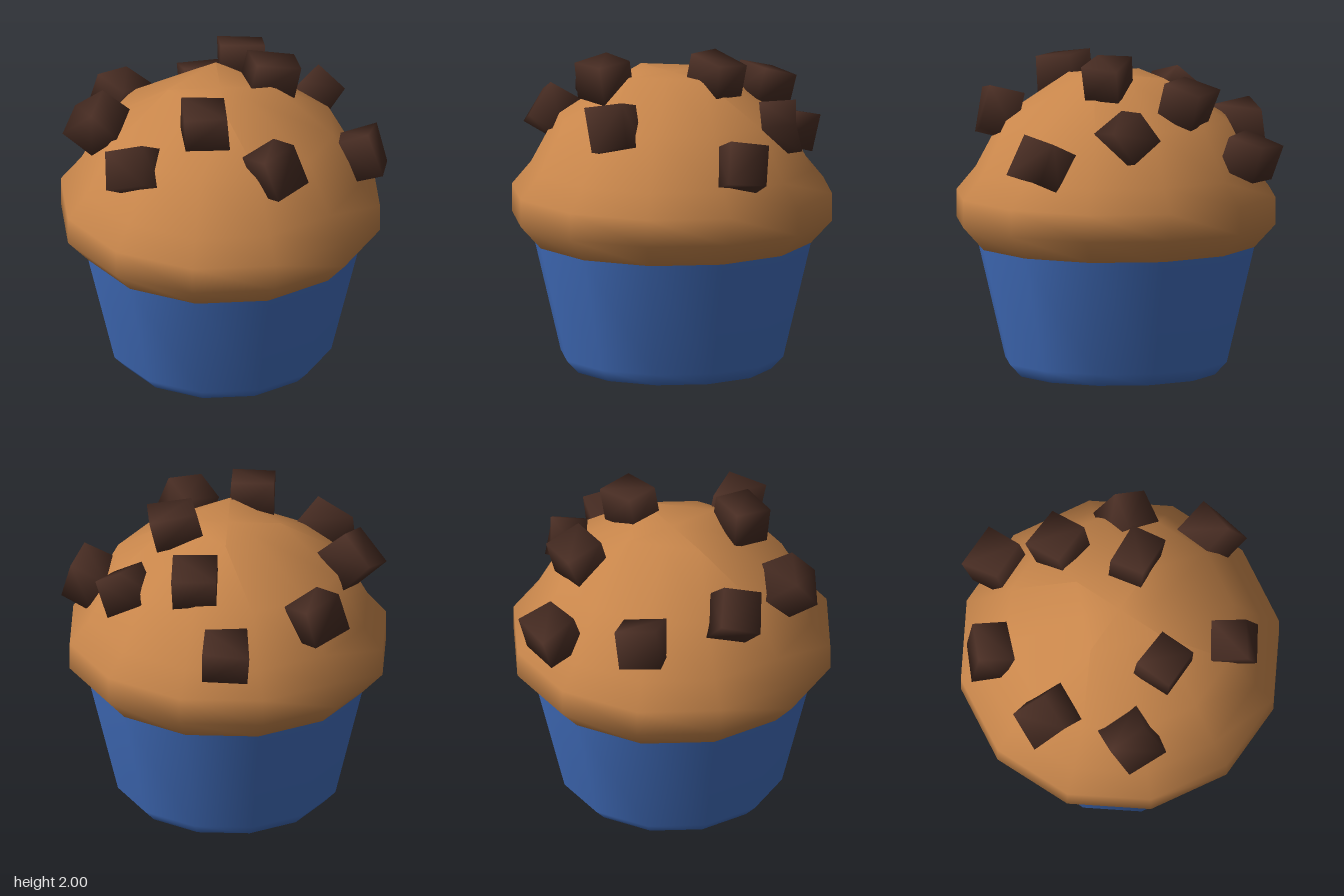
import * as THREE from 'three';
import { mergeVertices } from 'three/addons/utils/BufferGeometryUtils.js';

const SIDES = 12;
const CAP = 0.23;

const blue = new THREE.MeshStandardMaterial({ color: 0x4472c4 });
blue.name = 'wrapperBlue';
const golden = new THREE.MeshStandardMaterial({ color: 0xc8864b });
golden.name = 'cakeGolden';
const brown = new THREE.MeshStandardMaterial({ color: 0x4a2e24 });
brown.name = 'chocolateBrown';

// Smooth twelve-sided turned shape
function turned(name, profile, material) {
  const points = profile.map(([r, y]) => new THREE.Vector2(r, y));
  const mesh = new THREE.Mesh(new THREE.LatheGeometry(points, SIDES), material);
  mesh.name = name;
  return mesh;
}

// Small seeded generator for the uneven chunk corners
function seeded(seed) {
  let s = seed;
  return () => (s = (s * 16807) % 2147483647) / 2147483647;
}

// Soft-shaded, slightly uneven block
function chunkGeometry([w, h, d], seed) {
  const box = new THREE.BoxGeometry(w, h, d);
  box.deleteAttribute('normal');
  box.deleteAttribute('uv');
  const geometry = mergeVertices(box);
  const random = seeded(seed);
  const pos = geometry.attributes.position;
  for (let i = 0; i < pos.count; i++) {
    const jitter = () => (random() - 0.5) * 0.025;
    pos.setXYZ(i, pos.getX(i) + jitter(), pos.getY(i) + jitter(), pos.getZ(i) + jitter());
  }
  geometry.computeVertexNormals();
  return geometry;
}

// centre, direction of the outer face, spin about it, optional size
const CHUNKS = [
  [[-0.39, 1.83, 0.20], [-0.1, 1, 0.1], 0.8],
  [[0.30, 1.875, 0.16], [0.2, 0.95, 0.1], -0.66, [0.3, 0.21, 0.23]],
  [[0.53, 1.73, -0.28], [0.25, 0.9, -0.15], 0.8],
  [[-0.52, 1.63, -0.56], [-0.45, 0.65, -0.5], 0.3],
  [[0.615, 1.39, -0.655], [0.2, 0.9, -0.22], 0.8],
  [[0.01, 1.50, -0.82], [0.1, 0.2, -1], 0.1, [0.26, 0.22, 0.24]],
  [[-0.76, 1.57, -0.07], [-0.8, 0.5, 0.1], 0.5],
  [[0.70, 1.56, 0.17], [0.95, 0.12, -0.2], 0.78, [0.24, 0.22, 0.23]],
  [[-0.26, 1.62, 0.67], [-0.25, 0.22, 0.95], -0.05],
  [[0.54, 1.40, 0.68], [0.5, 0.35, 0.75], 0.4],
];

export function createModel() {
  const model = new THREE.Group();
  model.name = 'muffin';

  // Paper cup
  model.add(turned('wrapper', [[0, 0], [0.62, 0], [0.695, 0.08], [0.867, 0.8]], blue));

  // Domed cake with an overhanging rim
  const cake = turned('cakeTop', [
    [0.8, 0.8], [0.867, 0.8], [1, 0.945], [1, 1.115], [0.88, 1.26],
    [0.71, 1.58], [CAP, 1.85], [0, 1.85],
  ], golden);
  // The flat crown is square, with its corners on the diagonals
  const pos = cake.geometry.attributes.position;
  for (let i = 0; i < pos.count; i++) {
    const x = pos.getX(i), z = pos.getZ(i);
    const onCrown = pos.getY(i) > 1.8 && Math.hypot(x, z) > 0.1;
    if (onCrown && Math.abs(x) > 0.05 && Math.abs(z) > 0.05) {
      pos.setX(i, Math.sign(x) * CAP);
      pos.setZ(i, Math.sign(z) * CAP);
    }
  }
  model.add(cake);

  // Chocolate chunks scattered on the dome
  const chunks = new THREE.Group();
  chunks.name = 'chocolateChunks';
  const up = new THREE.Vector3(0, 1, 0);
  CHUNKS.forEach(([centre, facing, spin, size = [0.25, 0.23, 0.27]], i) => {
    const chunk = new THREE.Mesh(chunkGeometry(size, 101 + i * 7919), brown);
    chunk.name = 'chocolateChunk' + (i + 1);
    chunk.position.set(...centre);
    chunk.quaternion.setFromUnitVectors(up, new THREE.Vector3(...facing).normalize());
    chunk.rotateY(spin);
    chunks.add(chunk);
  });
  model.add(chunks);

  return model;
}
